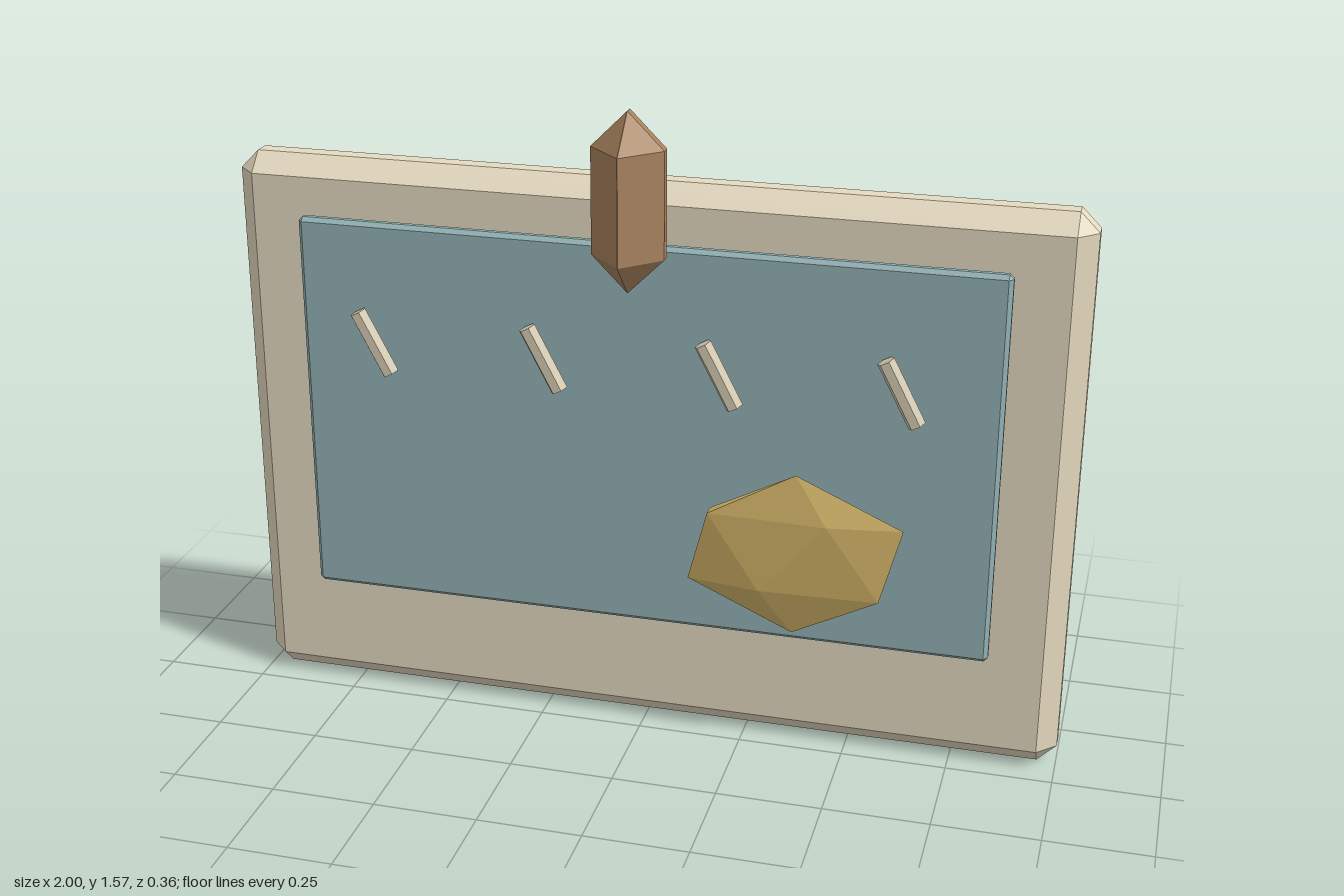
import * as THREE from 'three';
import { ConvexGeometry } from 'three/addons/geometries/ConvexGeometry.js';

const material = (color) => new THREE.MeshStandardMaterial({ color, flatShading: true });

// Box with half sizes hx, hy, hz and every edge cut by c
function chamferBox(hx, hy, hz, c) {
  const points = [];
  for (const x of [-1, 1]) for (const y of [-1, 1]) for (const z of [-1, 1]) {
    points.push(
      new THREE.Vector3(x * hx, y * (hy - c), z * (hz - c)),
      new THREE.Vector3(x * (hx - c), y * hy, z * (hz - c)),
      new THREE.Vector3(x * (hx - c), y * (hy - c), z * hz));
  }
  return new ConvexGeometry(points);
}

// Icosahedron standing on a corner, stretched to the given radii
function cornerIcosahedron(rx, ry, rz) {
  const points = [new THREE.Vector3(0, ry, 0), new THREE.Vector3(0, -ry, 0)];
  const ring = 2 / Math.sqrt(5), level = 1 / Math.sqrt(5);
  for (let i = 0; i < 10; i++) {
    const a = i * Math.PI / 5;
    points.push(new THREE.Vector3(
      ring * rx * Math.cos(a), (i % 2 ? -level : level) * ry, ring * rz * Math.sin(a)));
  }
  return new ConvexGeometry(points);
}

export function createModel() {
  const model = new THREE.Group();
  const add = (name, geometry, color, x, y, z) => {
    const mesh = new THREE.Mesh(geometry, material(color));
    mesh.name = name;
    mesh.position.set(x, y, z);
    model.add(mesh);
    return mesh;
  };

  // Thick backing board and the thin panel in front of it
  add('board', chamferBox(1, 0.68, 0.065, 0.045), 0xe6dac0, 0, 0.68, -0.115);
  add('panel', chamferBox(0.83, 0.472, 0.016, 0.01), 0x94b2b6, 0, 0.757, -0.028);

  // Pointed clip at the top
  add('clip', chamferBox(0.083, 0.205, 0.0935, 0.0825), 0xa8825e, 0, 1.36, 0.09);

  // Row of slanted six-sided marks
  const markGeometry = new THREE.CylinderGeometry(0.021, 0.021, 0.165, 6);
  markGeometry.rotateY(Math.PI / 6);
  for (let i = 0; i < 4; i++) {
    add('mark' + (i + 1), markGeometry, 0xd8cdb4, -0.641 + i * 0.415, 0.945, 0.013).rotation.z = 0.48;
  }

  // Flattened faceted nugget
  add('nugget', cornerIcosahedron(0.28, 0.2, 0.031), 0xd0b167, 0.377, 0.53, 0.036);

  return model;
}
